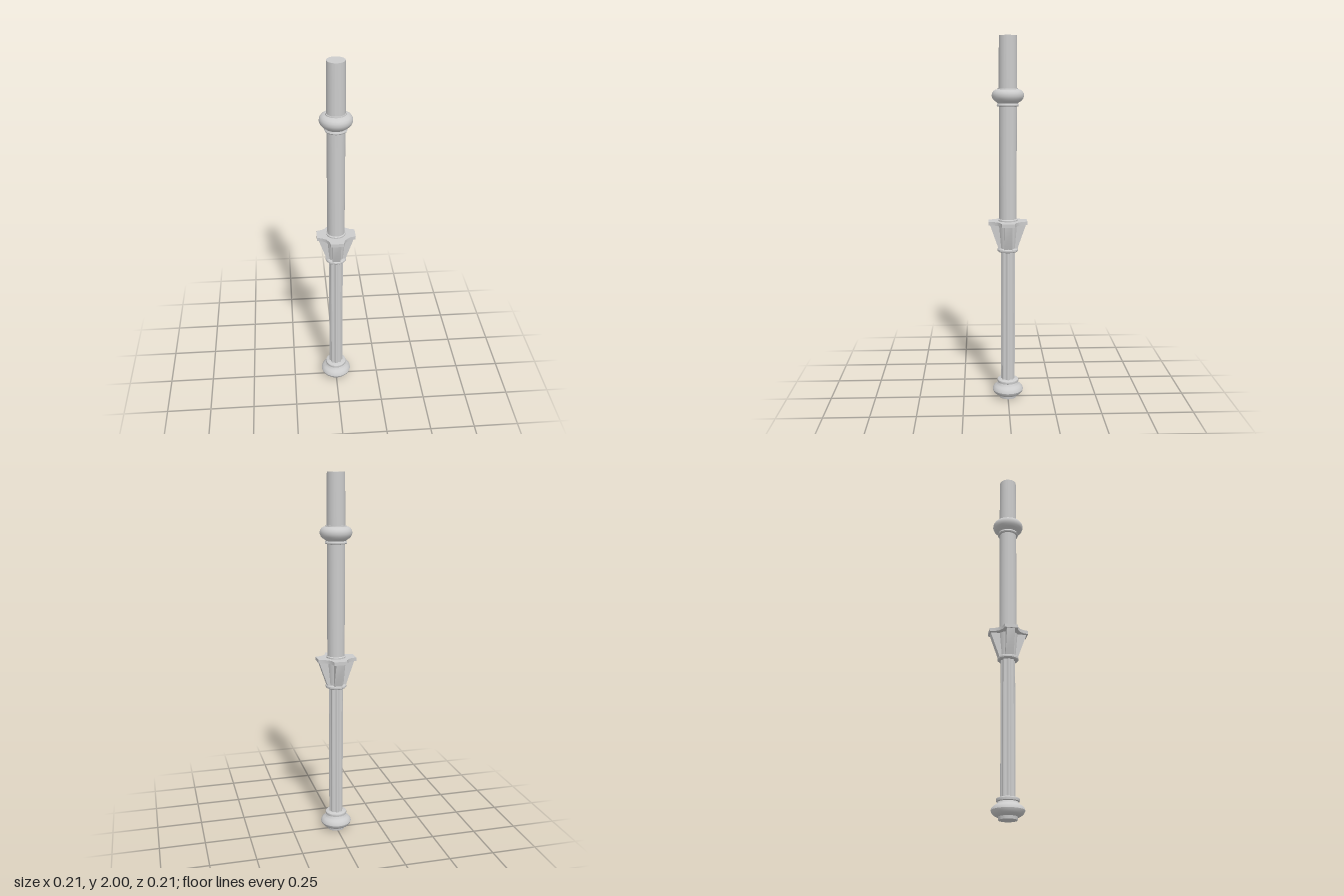
import * as THREE from 'three';
import { toCreasedNormals } from 'three/addons/utils/BufferGeometryUtils.js';

const material = new THREE.MeshStandardMaterial({ color: 0xcccccc });

function addPart(group, name, geometry, y = 0) {
  const mesh = new THREE.Mesh(toCreasedNormals(geometry, 0.6), material);
  mesh.name = name;
  mesh.position.y = y;
  group.add(mesh);
}

// Profile of [radius, height] pairs, bottom to top
const lathe = (profile) =>
  new THREE.LatheGeometry(profile.map(([r, y]) => new THREE.Vector2(r, y)), 48);

// Upright prism: the plan lies in x and z, the height runs along y
function prism(points, height) {
  const geometry = new THREE.ExtrudeGeometry(new THREE.Shape(points), { depth: height, bevelEnabled: false });
  return geometry.rotateX(-Math.PI / 2);
}

// One quarter of a four-armed plan, turned four times
function crossPlan(quarter) {
  const points = [];
  for (let i = 0; i < 4; i++) {
    for (const [x, y] of quarter) {
      points.push(new THREE.Vector2(x, y).rotateAround(new THREE.Vector2(), i * Math.PI / 2));
    }
  }
  return points;
}

// Round plan with concave flutes between narrow ridges
function flutedPlan(radius, flutes, depth) {
  const points = [];
  const steps = 12;
  for (let i = 0; i < flutes * steps; i++) {
    const t = (i % steps) / steps;
    const cut = t > 0.2 ? depth * Math.sin(((t - 0.2) / 0.8) * Math.PI) : 0;
    const a = ((i - steps * 0.1) / (flutes * steps)) * Math.PI * 2;
    points.push(new THREE.Vector2(Math.cos(a), Math.sin(a)).multiplyScalar(radius - cut));
  }
  return points;
}

export function createModel() {
  const column = new THREE.Group();
  column.name = 'column';

  // Turned foot with a bulging cushion and a collar
  addPart(column, 'base', lathe([
    [0, 0], [0.048, 0], [0.05, 0.016], [0.06, 0.018], [0.073, 0.026], [0.082, 0.036],
    [0.086, 0.047], [0.083, 0.058], [0.074, 0.068], [0.063, 0.075], [0.055, 0.082],
    [0.052, 0.089], [0.058, 0.092], [0.06, 0.099], [0.058, 0.106], [0.05, 0.11], [0, 0.11],
  ]));

  addPart(column, 'lowerShaft', prism(flutedPlan(0.039, 8, 0.006), 0.76), 0.1);

  // Ring under the bracketed capital
  addPart(column, 'capitalRing', lathe([
    [0, 0.848], [0.052, 0.848], [0.057, 0.853], [0.057, 0.862], [0.052, 0.868], [0, 0.868],
  ]));
  addPart(column, 'capitalCore', new THREE.CylinderGeometry(0.054, 0.043, 0.14, 32), 0.935);

  // Four brackets that flare outwards towards the slab
  const bracketShape = new THREE.Shape([[0, 0], [0.05, 0], [0.097, 0.135], [0.097, 0.145], [0, 0.145]]
    .map(([x, y]) => new THREE.Vector2(x, y)));
  for (let i = 0; i < 4; i++) {
    const bracket = new THREE.ExtrudeGeometry(bracketShape, { depth: 0.044, bevelEnabled: false });
    bracket.translate(0, 0, -0.022).rotateY(i * Math.PI / 2);
    addPart(column, 'bracket' + (i + 1), bracket, 0.862);
  }

  // Slab with four splayed arms
  addPart(column, 'capitalSlab', prism(crossPlan([
    [0.105, -0.035], [0.105, 0.035], [0.077, 0.042], [0.066, 0.05], [0.056, 0.056],
    [0.05, 0.066], [0.042, 0.077],
  ]), 0.019), 1.0);

  // Plain upper shaft, slightly narrower at the top
  addPart(column, 'upperShaft', lathe([
    [0, 1.01], [0.052, 1.01], [0.052, 1.026], [0.047, 1.03], [0.048, 1.64],
    [0.049, 1.72], [0.047, 2], [0, 2],
  ]));

  // Collar and bulging ring around the upper shaft
  addPart(column, 'upperRing', lathe([
    [0.045, 1.632], [0.056, 1.634], [0.059, 1.64], [0.056, 1.646], [0.054, 1.65], [0.06, 1.656],
    [0.07, 1.662], [0.08, 1.673], [0.086, 1.688], [0.084, 1.703], [0.077, 1.714],
    [0.066, 1.721], [0.054, 1.724], [0.053, 1.73], [0.045, 1.73],
  ]));

  return column;
}
